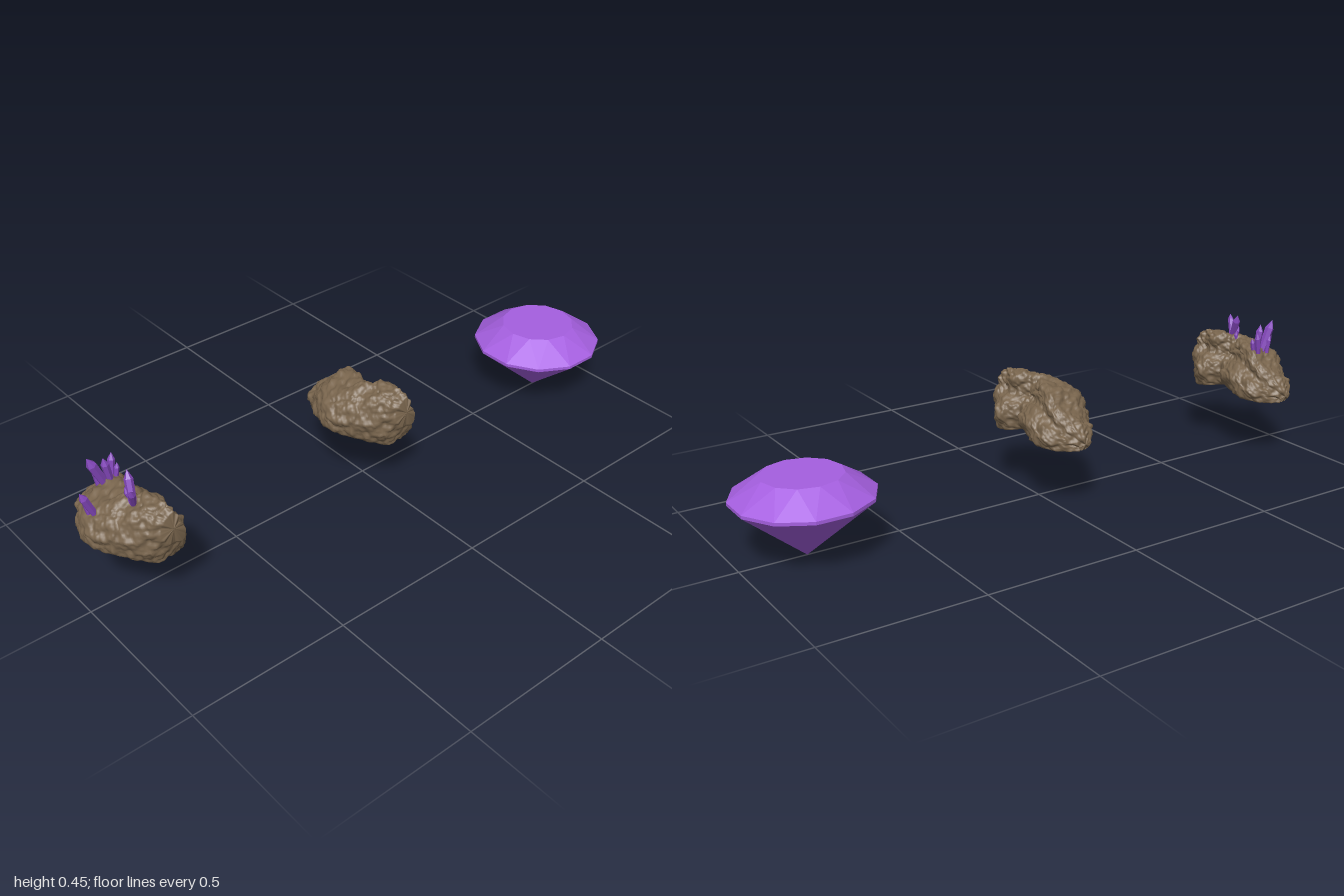
import * as THREE from 'three';

const rockMat = new THREE.MeshStandardMaterial({ color: 0x79654d });
rockMat.name = 'brown stone';
const gemMat = new THREE.MeshStandardMaterial({ color: 0xa55fe0, flatShading: true });
gemMat.name = 'cut purple';
const crystalMat = new THREE.MeshStandardMaterial({ color: 0x8548bd, flatShading: true });
crystalMat.name = 'raw purple';

// Seeded value noise, -1..1
function hash(x, y, z) {
  const s = Math.sin(x * 127.1 + y * 311.7 + z * 74.7) * 43758.5453;
  return s - Math.floor(s);
}
function noise(x, y, z) {
  const X = Math.floor(x), Y = Math.floor(y), Z = Math.floor(z);
  const s = (t) => t * t * (3 - 2 * t), mix = THREE.MathUtils.lerp;
  const u = s(x - X), v = s(y - Y), w = s(z - Z);
  const edge = (j, k) => mix(hash(X, Y + j, Z + k), hash(X + 1, Y + j, Z + k), u);
  return 2 * mix(mix(edge(0, 0), edge(1, 0), v), mix(edge(0, 1), edge(1, 1), v), w) - 1;
}

// Stations along z: z, x min, x max, y min, y max
const stations = [
  [-0.185, -0.062, -0.025, 0.2, 0.235],
  [-0.165, -0.08, 0.02, 0.197, 0.275],
  [-0.13, -0.1, 0.07, 0.198, 0.312],
  [-0.095, -0.12, 0.08, 0.2, 0.342],
  [-0.06, -0.14, 0.08, 0.205, 0.366],
  [0, -0.16, 0.066, 0.21, 0.373],
  [0.035, -0.155, 0.045, 0.208, 0.373],
  [0.06, -0.145, 0.045, 0.205, 0.377],
  [0.085, -0.13, 0.084, 0.2, 0.38],
  [0.12, -0.102, 0.084, 0.195, 0.387],
  [0.15, -0.065, 0.062, 0.2, 0.387],
  [0.18, -0.02, 0.05, 0.27, 0.365],
];
// Cross-section in a unit square, with a ledge on the +x side
const section = [
  [0, 0.5], [0.12, 0.77], [0.35, 0.92], [0.58, 1], [0.7, 0.94], [0.75, 0.8],
  [0.75, 0.64], [0.92, 0.5], [1, 0.33], [0.9, 0.03], [0.62, 0.03], [0.35, 0], [0.07, 0.2],
];

function rockGeometry() {
  const ROWS = 110, COLS = 130;
  const curve = (pts, closed) => new THREE.CatmullRomCurve3(
    pts.map((p) => new THREE.Vector3(...p)), closed, 'catmullrom', 0.5);
  const xs = curve(stations.map((s) => [s[1], s[2], s[0]]), false);
  const ys = curve(stations.map((s) => [s[3], s[4], s[0]]), false);
  const ring = curve(section.map((p) => [p[0], p[1], 0]), true);
  const pos = [], index = [];
  for (let i = 0; i <= ROWS; i++) {
    const end = i === 0 || i === ROWS;
    const t = THREE.MathUtils.clamp((i - 1) / (ROWS - 2), 0, 1);
    const a = xs.getPoint(t), b = ys.getPoint(t);
    for (let j = 0; j < COLS; j++) {
      const p = ring.getPoint(j / COLS);
      const u = end ? 0.5 : p.x, v = end ? 0.5 : p.y;
      pos.push(a.x + (a.y - a.x) * u, b.x + (b.y - b.x) * v,
        a.z + (i === 0 ? -0.005 : i === ROWS ? 0.006 : 0));
      if (i === ROWS) continue;
      const k = (j + 1) % COLS, r = i * COLS, n = r + COLS;
      index.push(r + j, n + j, r + k, r + k, n + j, n + k);
    }
  }
  const geo = new THREE.BufferGeometry();
  geo.setAttribute('position', new THREE.Float32BufferAttribute(pos, 3));
  geo.setIndex(index);
  geo.computeVertexNormals();
  // Push the surface in and out for lumps and cracks, leaving the underside smooth
  const P = geo.attributes.position, N = geo.attributes.normal;
  for (let i = COLS; i < P.count - COLS; i++) {
    const x = P.getX(i), y = P.getY(i), z = P.getZ(i);
    const crack = Math.max(0, 1 - 7 * Math.abs(noise(x * 16 + 5, y * 16, z * 16)));
    const rough = 1 - 0.8 * THREE.MathUtils.smoothstep(-N.getY(i), 0.4, 0.9);
    const d = rough * (0.007 * noise(x * 24, y * 24, z * 24)
      + 0.006 * noise(x * 55, y * 55, z * 55)
      + 0.004 * noise(x * 120, y * 120, z * 120) - 0.005 * crack + 0.001);
    P.setXYZ(i, x + N.getX(i) * d, y + N.getY(i) * d, z + N.getZ(i) * d);
  }
  geo.computeVertexNormals();
  return geo;
}

// Six-sided crystal running from a base point to a tip
function crystal(base, tip, r) {
  const a = new THREE.Vector3(...base), dir = new THREE.Vector3(...tip).sub(a);
  const len = dir.length();
  const profile = [[0.001, 0], [r * 0.8, 0], [r, len - r * 2], [0, len]]
    .map((p) => new THREE.Vector2(...p));
  const mesh = new THREE.Mesh(new THREE.LatheGeometry(profile, 6), crystalMat);
  mesh.name = 'crystal';
  mesh.position.copy(a);
  mesh.quaternion.setFromUnitVectors(new THREE.Vector3(0, 1, 0), dir.normalize());
  return mesh;
}

// Twelve-sided cut gem: flat table, triangular crown facets, girdle, pointed base
function gemGeometry() {
  const R = 0.2122, pos = [];
  const at = (k, r, y) => {
    const a = (k * Math.PI) / 6;
    return [r * Math.sin(a), y, r * Math.cos(a)];
  };
  const tri = (...c) => c.forEach((p) => pos.push(...p));
  const table = (k) => at(k, 0.121, 0.25);
  const upper = (k) => at(k + 0.5, R, 0.19), lower = (k) => at(k + 0.5, R, 0.18);
  for (let k = 0; k < 12; k++) {
    tri([0, 0.25, 0], table(k), table(k + 1));
    tri(table(k), upper(k), table(k + 1));
    tri(table(k + 1), upper(k), upper(k + 1));
    tri(upper(k), lower(k), lower(k + 1));
    tri(upper(k), lower(k + 1), upper(k + 1));
    tri(lower(k), [0, 0, 0], lower(k + 1));
  }
  const geo = new THREE.BufferGeometry();
  geo.setAttribute('position', new THREE.Float32BufferAttribute(pos, 3));
  geo.computeVertexNormals();
  return geo;
}

export function createModel() {
  const model = new THREE.Group();
  model.name = 'gemStages';
  const geo = rockGeometry();

  const bareRock = new THREE.Mesh(geo, rockMat);
  bareRock.name = 'bareRock';
  model.add(bareRock);

  const crystalRock = new THREE.Group();
  crystalRock.name = 'crystalRock';
  crystalRock.position.x = -0.83;
  const stone = new THREE.Mesh(geo, rockMat);
  stone.name = 'stone';
  crystalRock.add(stone);
  // Base, tip, radius of each crystal
  [
    [[-0.035, 0.35, 0.075], [-0.06, 0.438, 0.118], 0.01],
    [[-0.04, 0.35, 0.085], [-0.025, 0.452, 0.042], 0.013],
    [[-0.03, 0.35, 0.065], [-0.045, 0.41, 0.055], 0.009],
    [[-0.03, 0.34, 0.05], [-0.025, 0.395, 0.047], 0.007],
    [[-0.11, 0.31, 0.012], [-0.155, 0.418, 0.013], 0.012],
    [[-0.125, 0.3, 0.0], [-0.14, 0.385, -0.004], 0.007],
    [[-0.03, 0.33, -0.066], [-0.082, 0.452, -0.067], 0.015],
    [[-0.02, 0.33, -0.06], [-0.04, 0.44, -0.056], 0.012],
    [[-0.015, 0.32, -0.078], [0.002, 0.424, -0.086], 0.011],
    [[-0.05, 0.32, -0.075], [-0.06, 0.405, -0.08], 0.009],
    [[-0.01, 0.32, -0.065], [0.005, 0.4, -0.065], 0.008],
  ].forEach((c) => crystalRock.add(crystal(...c)));
  model.add(crystalRock);

  const gem = new THREE.Mesh(gemGeometry(), gemMat);
  gem.name = 'cutGem';
  gem.position.x = 0.795;
  model.add(gem);
  return model;
}
